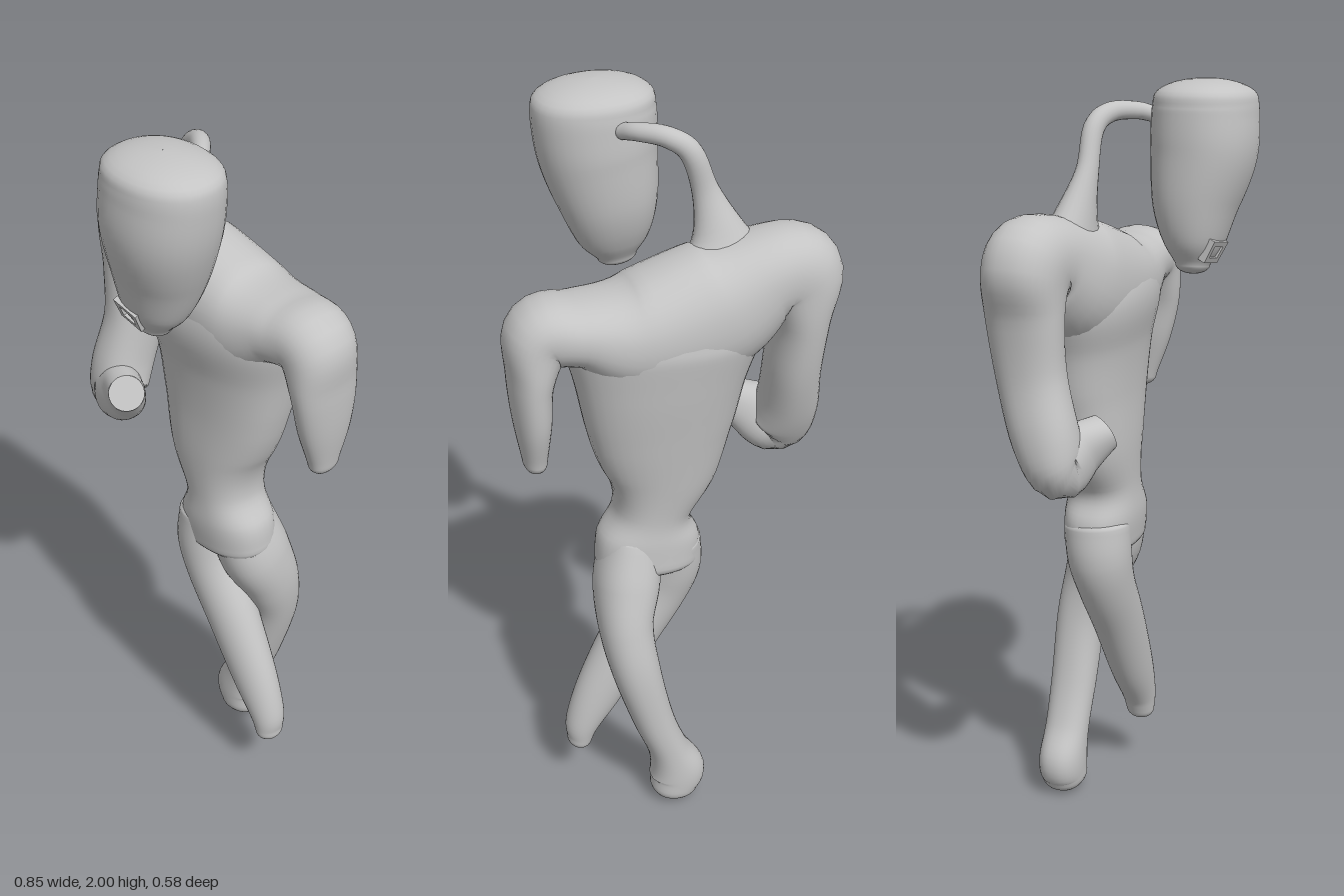
import * as THREE from 'three';

const skin = new THREE.MeshStandardMaterial({ color: 0xc4c4c4 });
skin.name = 'light grey';

// Sweeps a rounded section along stations [x, y, z, sideRadius, depthRadius].
// Each end is closed by a dome of the given height (0 leaves it open); power squares the section.
function loft(name, stations, domeStart, domeEnd, { power = 2, steps = 6, sides = 36 } = {}) {
  const path = new THREE.CatmullRomCurve3(stations.map(s => new THREE.Vector3(s[0], s[1], s[2])), false, 'catmullrom');
  const size = new THREE.CatmullRomCurve3(stations.map(s => new THREE.Vector3(s[3], s[4], 0)), false, 'catmullrom');
  const n = (stations.length - 1) * steps;
  const front = new THREE.Vector3(0, 0, 1);
  const positions = [], index = [];
  let rings = 0;

  const ring = (t, push, scale) => {
    const c = path.getPoint(t), r = size.getPoint(t), T = path.getTangent(t);
    const U = T.clone().cross(front).normalize();
    const V = U.clone().cross(T);
    c.addScaledVector(T, push);
    for (let j = 0; j < sides; j++) {
      const a = j / sides * Math.PI * 2;
      const round = v => Math.sign(v) * Math.abs(v) ** (2 / power) * scale;
      const p = c.clone().addScaledVector(U, r.x * round(Math.cos(a))).addScaledVector(V, r.y * round(Math.sin(a)));
      positions.push(p.x, p.y, p.z);
    }
    rings++;
  };

  const D = 8;
  if (domeStart) for (let k = D; k > 0; k--) {
    const f = k / D * Math.PI / 2;
    ring(0, -domeStart * Math.sin(f), Math.max(Math.cos(f), 0.001));
  }
  for (let i = 0; i <= n; i++) ring(i / n, 0, 1);
  if (domeEnd) for (let k = 1; k <= D; k++) {
    const f = k / D * Math.PI / 2;
    ring(1, domeEnd * Math.sin(f), Math.max(Math.cos(f), 0.001));
  }

  for (let i = 0; i < rings - 1; i++) for (let j = 0; j < sides; j++) {
    const a = i * sides + j, c = i * sides + (j + 1) % sides;
    index.push(a, a + sides, c, c, a + sides, c + sides);
  }
  const g = new THREE.BufferGeometry();
  g.setAttribute('position', new THREE.Float32BufferAttribute(positions, 3));
  g.setIndex(index);
  g.computeVertexNormals();
  const mesh = new THREE.Mesh(g, skin);
  mesh.name = name;
  return mesh;
}

export function createModel() {
  const model = new THREE.Group();
  model.name = 'figure';

  // Torso from hips through the narrow waist to the broad chest
  model.add(loft('torso', [
    [0.065, 0.79, -0.105, 0.14, 0.098],
    [0.06, 0.86, -0.1, 0.135, 0.1],
    [0.05, 0.94, -0.1, 0.102, 0.096],
    [0.028, 1.06, -0.105, 0.15, 0.105],
    [0.03, 1.20, -0.115, 0.19, 0.115],
    [0.03, 1.33, -0.12, 0.217, 0.13],
    [0.025, 1.44, -0.117, 0.25, 0.147],
    [0.02, 1.51, -0.12, 0.25, 0.137],
  ], 0.045, 0.07, { power: 2.3 }));

  // Left arm, shoulders, right arm and bent forearm as one continuous sweep
  model.add(loft('shouldersAndArms', [
    [0.362, 1.17, -0.135, 0.03, 0.045],
    [0.363, 1.28, -0.13, 0.045, 0.08],
    [0.36, 1.40, -0.12, 0.055, 0.098],
    [0.33, 1.50, -0.115, 0.085, 0.1],
    [0.24, 1.505, -0.12, 0.085, 0.117],
    [0.1, 1.475, -0.12, 0.14, 0.142],
    [-0.1, 1.505, -0.118, 0.165, 0.137],
    [-0.24, 1.575, -0.125, 0.115, 0.113],
    [-0.31, 1.555, -0.127, 0.122, 0.104],
    [-0.326, 1.45, -0.125, 0.074, 0.1],
    [-0.323, 1.30, -0.11, 0.069, 0.09],
    [-0.332, 1.16, -0.07, 0.078, 0.085],
    [-0.318, 1.085, -0.04, 0.083, 0.07],
    [-0.26, 1.12, -0.012, 0.075, 0.055],
    [-0.203, 1.155, 0.027, 0.047, 0.047],
  ], 0.035, 0, { power: 2.2 }));

  // Flat end of the forearm
  const stump = new THREE.Mesh(new THREE.CircleGeometry(0.048, 36), skin);
  stump.name = 'forearmEnd';
  stump.position.set(-0.203, 1.155, 0.027);
  stump.quaternion.setFromUnitVectors(new THREE.Vector3(0, 0, 1), new THREE.Vector3(0.057, 0.035, 0.039).normalize());
  model.add(stump);

  // Right leg crosses in front
  model.add(loft('rightLeg', [
    [0.0, 0.83, -0.097, 0.082, 0.092],
    [0.0, 0.74, -0.09, 0.088, 0.088],
    [0.03, 0.65, -0.085, 0.084, 0.078],
    [0.105, 0.52, -0.085, 0.08, 0.07],
    [0.195, 0.35, -0.088, 0.07, 0.06],
    [0.25, 0.24, -0.09, 0.05, 0.05],
    [0.263, 0.18, -0.09, 0.035, 0.042],
  ], 0.03, 0.033));

  // Left leg stands behind on a small swollen foot
  model.add(loft('leftLeg', [
    [0.11, 0.85, -0.105, 0.075, 0.092],
    [0.132, 0.74, -0.135, 0.086, 0.1],
    [0.15, 0.63, -0.18, 0.072, 0.085],
    [0.135, 0.50, -0.215, 0.065, 0.07],
    [0.09, 0.32, -0.22, 0.056, 0.065],
    [0.045, 0.19, -0.22, 0.055, 0.062],
    [0.017, 0.10, -0.22, 0.078, 0.064],
    [0.025, 0.05, -0.22, 0.068, 0.062],
  ], 0.03, 0.048, { power: 2.2 }));

  // Thin neck hooking forward to the back of the head
  model.add(loft('neck', [
    [-0.135, 1.60, -0.1, 0.13, 0.07],
    [-0.125, 1.68, -0.085, 0.068, 0.048],
    [-0.097, 1.78, -0.07, 0.034, 0.028],
    [-0.06, 1.88, -0.07, 0.028, 0.026],
    [-0.01, 1.917, -0.05, 0.025, 0.025],
    [0.045, 1.92, -0.005, 0.022, 0.022],
    [0.07, 1.91, 0.035, 0.02, 0.02],
  ], 0, 0.02, { sides: 20 }));

  // Head, tapering to the chin
  model.add(loft('head', [
    [0.055, 1.545, 0.15, 0.052, 0.042],
    [0.062, 1.60, 0.15, 0.093, 0.075],
    [0.075, 1.70, 0.148, 0.125, 0.107],
    [0.095, 1.82, 0.16, 0.147, 0.13],
    [0.103, 1.91, 0.16, 0.152, 0.129],
    [0.104, 1.95, 0.16, 0.149, 0.125],
  ], 0.025, 0.05, { power: 2.15 }));

  // Raised square mouth rim
  const rect = (S, w, h) => new S([[-w, -h], [w, -h], [w * 1.1, h], [-w * 1.1, h]].map(p => new THREE.Vector2(...p)));
  const rim = rect(THREE.Shape, 0.038, 0.03);
  rim.holes.push(rect(THREE.Path, 0.022, 0.016));
  const mouth = new THREE.Mesh(new THREE.ExtrudeGeometry(rim, { depth: 0.02, bevelEnabled: false }), skin);
  mouth.name = 'mouthRim';
  mouth.position.set(0.045, 1.588, 0.2);
  mouth.rotation.set(0.45, -0.1, -0.1);
  model.add(mouth);

  return model;
}
